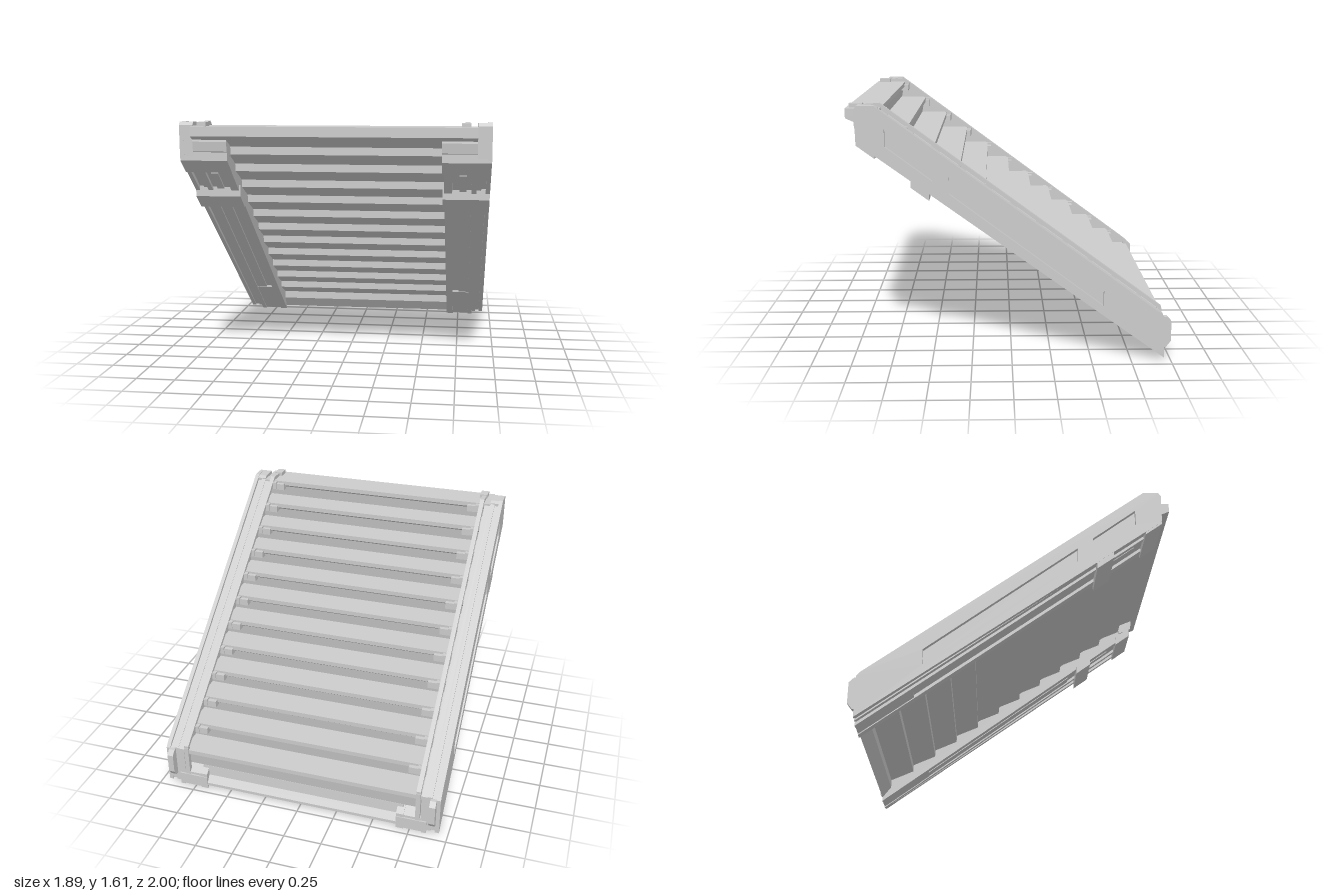
import * as THREE from 'three';

const mat = new THREE.MeshStandardMaterial({ color: 0xcccccc, flatShading: true });
const SLOPE = 0.74, RUN = 0.158, RISE = 0.118, STEPS = 12;
// Height of the pitch line (stringer top edge) at depth z, plus a vertical offset
const pitch = (z, off = 0) => 1.01 + SLOPE * z + off;

// Side profile given as [z, y] points, extruded from x0 to x1
function slab(name, pts, x0, x1, holes = []) {
  const toV = p => new THREE.Vector2(p[0], p[1]);
  const shape = new THREE.Shape(pts.map(toV));
  holes.forEach(h => shape.holes.push(new THREE.Path(h.map(toV))));
  const geo = new THREE.ExtrudeGeometry(shape, { depth: x1 - x0, bevelEnabled: false });
  geo.rotateY(-Math.PI / 2).translate(x1, 0, 0);
  const mesh = new THREE.Mesh(geo, mat);
  mesh.name = name;
  return mesh;
}

// Strip following the pitch between two offsets, with upright ends
const strip = (z0, z1, low, high) => [
  [z0, pitch(z0, low)], [z1, pitch(z1, low)], [z1, pitch(z1, high)], [z0, pitch(z0, high)]];

function box(name, x0, x1, y0, y1, z0, z1) {
  const mesh = new THREE.Mesh(new THREE.BoxGeometry(x1 - x0, y1 - y0, z1 - z0), mat);
  mesh.position.set((x0 + x1) / 2, (y0 + y1) / 2, (z0 + z1) / 2);
  mesh.name = name;
  return mesh;
}

// Overlapping wedge steps: nosing, recessed riser, sloping underside, front lip
function createSteps() {
  const g = new THREE.Group();
  g.name = 'steps';
  const profile = [[0, 0], [0, -0.03], [0.02, -0.045], [0.035, -0.125],
    [0.052, -0.13], [0.21, -0.06], [0.21, 0]];
  for (let k = 0; k < STEPS; k++) {
    const w = k === 0 ? 0.86 : 0.82;
    g.add(slab(k === 0 ? 'landing' : 'step',
      profile.map(([z, y]) => [z + 0.79 - RUN * k, y + 1.595 - RISE * k]), -w, w));
  }
  // Low sill closing the foot of the flight
  g.add(slab('sill', [
    [-0.896, 0.172], [-0.896, 0.112], [-0.955, 0.035], [-0.955, 0.055], [-0.92, 0.1], [-0.915, 0.172]
  ], -0.7, 0.7));
  return g;
}

// One side: s = 1 is the model's left (+x), s = -1 its right
function createSide(s) {
  const g = new THREE.Group();
  g.name = s > 0 ? 'leftSide' : 'rightSide';
  const add = (name, pts, a, b, holes) =>
    g.add(slab(name, pts, s > 0 ? a : -b, s > 0 ? b : -a, holes));
  const addBox = (name, a, b, ...rest) => g.add(box(name, s > 0 ? a : -b, s > 0 ? b : -a, ...rest));

  // Stringer: outer plate with two long windows, groove and inner plate
  const outline = [[-0.955, 0.03], [0.93, 1.4], [0.935, 1.6], [0.92, 1.62], [0.82, 1.62], [-0.93, 0.32], [-0.955, 0.29]];
  const windows = [
    [[0.76, 1.48], [0.48, 1.265], [0.48, 1.165], [0.76, 1.375]],
    [[0.38, 1.19], [-0.57, 0.47], [-0.57, 0.37], [0.38, 1.085]]];
  add('stringerPlate', outline, 0.918, 0.945, windows);
  add('stringerCore', strip(-0.95, 0.82, -0.265, -0.02), 0.89, 0.918);
  add('stringerInner', strip(-0.95, 0.82, -0.275, -0.008), 0.86, 0.89);
  add('stringerHead', [
    [0.8, 1.33], [0.93, 1.41], [0.935, 1.6], [0.92, 1.62], [0.82, 1.615], [0.8, 1.6]], 0.86, 0.918);
  add('endPlate', [[-0.94, 0.09], [-0.97, 0.09], [-1, 0.13], [-1, 0.26], [-0.97, 0.29], [-0.94, 0.29]], 0.88, 0.92);

  // Skirt between the steps and the stringer
  add('skirt', strip(-0.95, 0.8, -0.2, -0.012), 0.82, 0.86);

  // Underside beam: web, edge flanges, raised panels and foot
  add('beamWeb', strip(-0.95, 0.93, -0.272, -0.19), 0.66, 0.86);
  add('beamFlange', strip(-0.955, 0.9, -0.295, -0.18), 0.66, 0.71);
  add('beamFlange', strip(-0.955, 0.9, -0.295, -0.22), 0.83, 0.86);
  add('beamPanel', strip(-0.955, -0.63, -0.288, -0.25), 0.705, 0.835);
  add('beamPanel', strip(-0.63, 0.44, -0.284, -0.25), 0.755, 0.83);
  add('beamPanel', strip(0.6, 0.76, -0.284, -0.25), 0.755, 0.8);
  addBox('foot', 0.66, 0.86, 0.045, 0.1, -0.96, -0.93);

  // Brackets hanging below the beam and stringer
  add('bracket', strip(0.5, 0.61, -0.335, -0.26), 0.65, 0.944);
  add('bracket', strip(0.82, 0.93, -0.315, -0.25), 0.65, 0.944);
  add('bracketTop', [[0.85, 1.4], [0.94, 1.44], [0.95, 1.5], [0.94, 1.57], [0.85, 1.57]], 0.65, 0.86);

  // Rail with its bottom post and top block
  add('rail', [
    [-0.95, pitch(-0.95, -0.01)], [0.8, pitch(0.8, -0.01)], [0.95, 1.592],
    [0.95, 1.612], [0.8, 1.622], [-0.95, pitch(-0.95, 0.018)]], 0.785, 0.815);
  addBox('railPost', 0.785, 0.815, 0.1, 0.31, -0.955, -0.925);
  addBox('railBlock', 0.765, 0.82, 1.59, 1.62, 0.9, 0.98);

  // Small clips under each nosing
  for (let k = 0; k < STEPS - 1; k++) {
    const z = 0.79 - RUN * k, y = 1.595 - RISE * k;
    addBox('stepClip', 0.7, 0.765, y - 0.06, y - 0.015, z - 0.028, z + 0.03);
    addBox('clipArm', 0.76, 0.785, y - 0.055, y - 0.005, z - 0.035, z + 0.03);
  }
  return g;
}

export function createModel() {
  const model = new THREE.Group();
  model.name = 'staircase';
  model.add(createSteps(), createSide(1), createSide(-1));
  return model;
}
